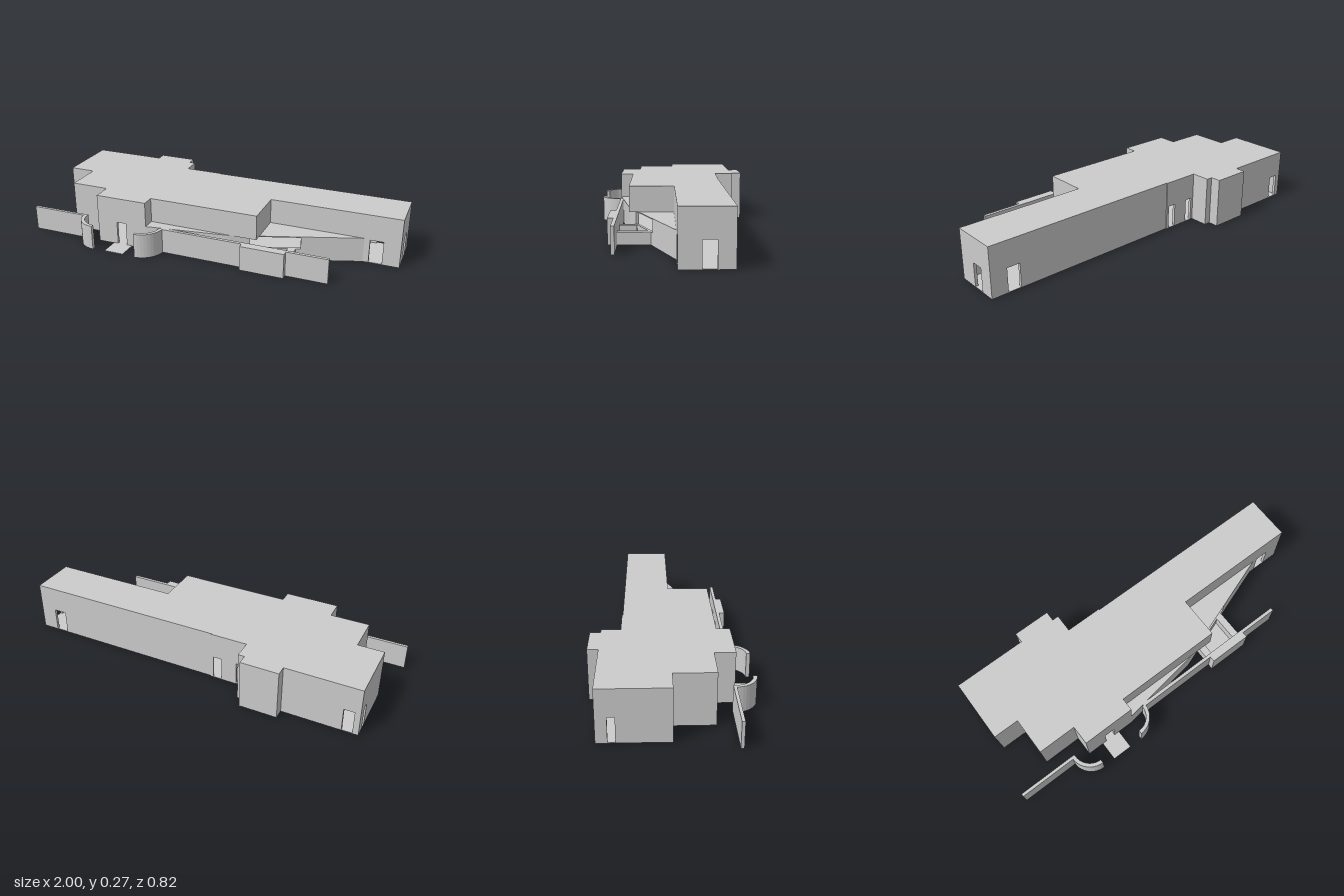
import * as THREE from 'three';

const MAT = new THREE.MeshStandardMaterial({ color: 0xcccccc, flatShading: true });
const H = 0.135; // storey height
const ROOF = 0.005; // thickness of the lower roof slab

function add(parent, name, geometry) {
  const mesh = new THREE.Mesh(geometry, MAT);
  mesh.name = name;
  parent.add(mesh);
  return mesh;
}

// Horizontal plan [x, z] raised from y0 to y1
function prism(parent, name, plan, y0, y1) {
  const shape = new THREE.Shape(plan.map(([x, z]) => new THREE.Vector2(x, -z)));
  const g = new THREE.ExtrudeGeometry(shape, { depth: y1 - y0, bevelEnabled: false });
  g.rotateX(-Math.PI / 2).translate(0, y0, 0);
  return add(parent, name, g);
}

// Box given by its limits on each axis
function block(parent, name, x0, x1, y0, y1, z0, z1) {
  const g = new THREE.BoxGeometry(x1 - x0, y1 - y0, z1 - z0);
  g.translate((x0 + x1) / 2, (y0 + y1) / 2, (z0 + z1) / 2);
  return add(parent, name, g);
}

// Straight wall from a to b, thickness inward; openings are [start, end, sill]
function wall(parent, a, b, openings = []) {
  const t = 0.015, top = H - ROOF;
  const dx = b[0] - a[0], dz = b[1] - a[1];
  const group = new THREE.Group();
  group.name = 'outerWall';
  group.position.set(a[0], 0, a[1]);
  group.rotation.y = Math.atan2(-dz, dx);
  let s = 0;
  for (const [start, end, sill] of openings) {
    block(group, 'wallPier', s, start, 0, top, -t, 0);
    if (sill) block(group, 'windowSill', start, end, 0, sill, -t, 0);
    s = end;
  }
  block(group, 'wallPier', s, Math.hypot(dx, dz), 0, top, -t, 0);
  parent.add(group);
}

// Quarter-round fence between two radii
function curvedFence(parent, name, cx, cz, from, to) {
  const arc = (r, u) => {
    const a = from + (to - from) * u;
    return [cx + r * Math.cos(a), cz + r * Math.sin(a)];
  };
  const steps = Array.from({ length: 11 }, (_, i) => i / 10);
  const plan = [...steps.map(u => arc(0.115, u)), ...steps.reverse().map(u => arc(0.095, u))];
  prism(parent, name, plan, 0, H);
}

export function createModel() {
  const model = new THREE.Group();
  model.name = 'building';

  // Outline shared by both storeys: left side, then right end and back
  const leftSide = [[-0.94, -0.01], [-0.8, -0.01], [-0.8, 0.195], [-0.59, 0.195], [-0.59, 0.3], [-0.3, 0.3]];
  const backSide = [
    [1, 0], [1, -0.25], [-0.1, -0.25], [-0.1, -0.255], [-0.3, -0.255], [-0.3, -0.355],
    [-0.335, -0.355], [-0.335, -0.41], [-0.54, -0.41], [-0.54, -0.355], [-0.94, -0.355],
  ];
  const lower = [...leftSide, [0.15, 0.233], [0.81, 0], ...backSide];
  const upper = [...leftSide, [-0.3, 0.23], [0.3, 0.23], [0.3, 0], ...backSide];

  // Lower storey: floor, walls with doorways, flat roof
  prism(model, 'floor', lower, 0, 0.003);
  const openings = {
    4: [[0.115, 0.17]],
    6: [[0.11, 0.375, 0.065]],
    7: [[0.03, 0.1]],
    8: [[0.105, 0.17]],
    9: [[0.09, 0.16]],
    11: [[0.01, 0.06], [0.145, 0.185]],
    17: [[0.315, 0.37]],
    18: [[0.055, 0.09]],
  };
  lower.forEach((p, i) => wall(model, p, lower[(i + 1) % lower.length], openings[i]));
  prism(model, 'lowerRoof', lower, H - ROOF, H);

  // Upper storey
  prism(model, 'upperStorey', upper, H, 0.27);

  // Entrance step and garden fences
  block(model, 'entranceSlab', -0.5, -0.39, 0, 0.003, 0.3, 0.405);
  block(model, 'leftFence', -1, -0.665, 0, H, 0.282, 0.298);
  block(model, 'rightFence', -0.215, 0.7, 0, H, 0.282, 0.3);
  curvedFence(model, 'leftFenceCurve', -0.57, 0.293, Math.PI, Math.PI / 2);
  curvedFence(model, 'rightFenceCurve', -0.318, 0.293, 0, Math.PI / 2);

  // Side porch: front panel, low walls and landing
  block(model, 'porchFront', 0.245, 0.48, 0, H, 0.3, 0.33);
  block(model, 'porchRightWall', 0.44, 0.48, 0, 0.065, 0.115, 0.3);
  block(model, 'porchLeftWall', 0.245, 0.285, 0, 0.065, 0.19, 0.3);
  prism(model, 'porchLanding', [[0.285, 0.185], [0.285, 0.285], [0.44, 0.285], [0.44, 0.13]], 0, 0.003);

  return model;
}
